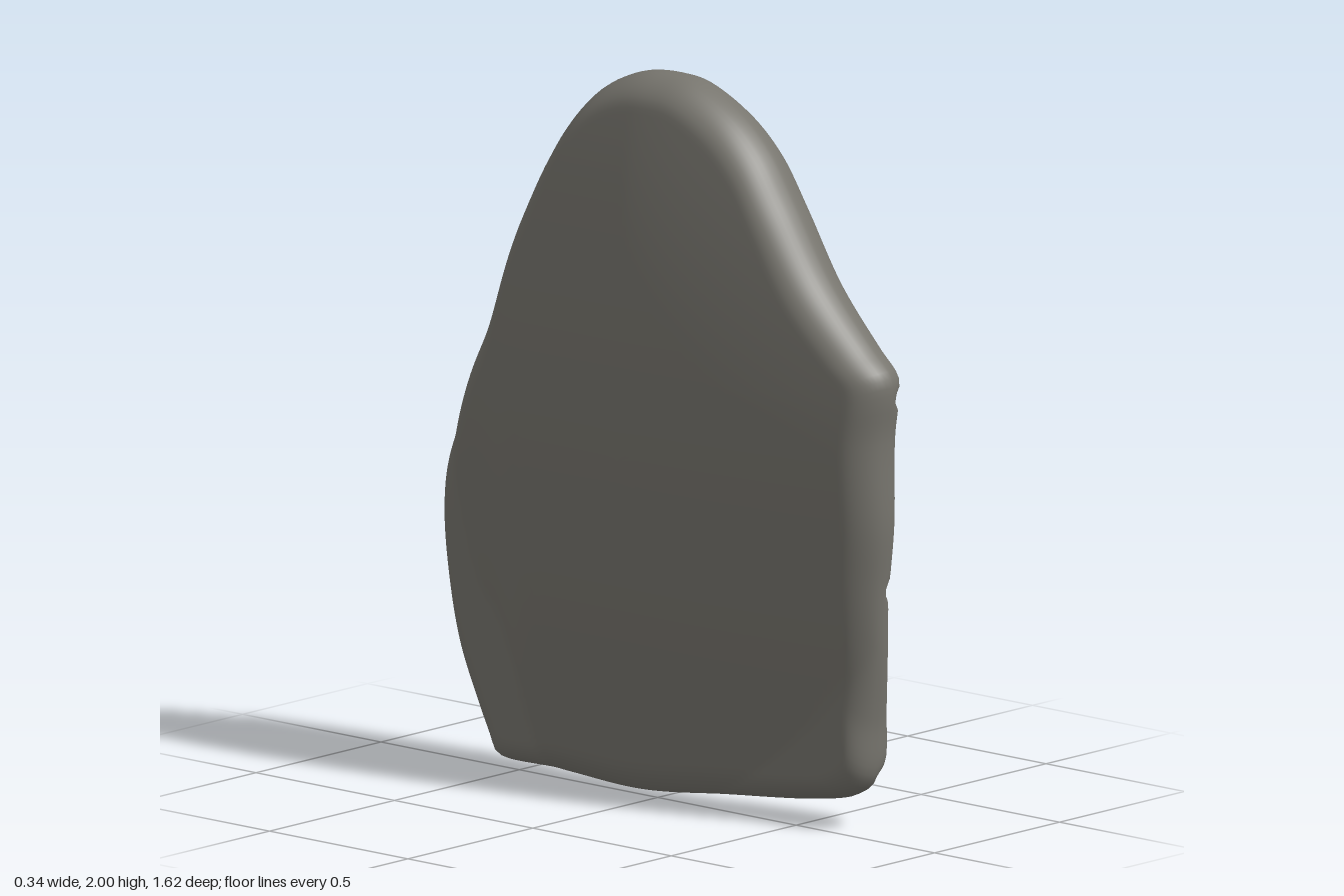
import * as THREE from 'three';

// Plan coordinates are hundredths of a unit: u = -z (to the right when facing the carving), y = up.
const pairs = (a) => Array.from({ length: a.length / 2 }, (_, i) => new THREE.Vector2(a[2 * i] / 100, a[2 * i + 1] / 100));

const OUTLINE = pairs([
  -14, 199, -6, 200, 5, 199, 16, 194, 24, 186, 31, 175, 40, 157, 50, 138, 60, 120, 69, 104, 76, 90,
  80, 78, 81, 65, 79, 47, 75, 30, 68, 14, 64, 6, 62, 2, 59, 1, 40, 1, 10, 0, -20, 3, -50, 6, -64, 9,
  -70, 14, -72, 30, -75, 50, -77, 68, -79, 85, -79.5, 110, -81, 122, -80.5, 127, -74, 134, -60, 150,
  -47, 170, -38, 183, -28, 192]);

// Raised border running down both sides of the point
const BORDER = [
  [-85, 121, -85, 130, -60, 165, -40, 190, -6, 204, -7, 192, -26, 174, -62, 136, -78, 123],
  [-6, 204, 24, 195, 42, 160, 64, 124, 82, 92, 74, 90, 62, 112, 54, 118, 41, 133, 28, 153, 18, 166, -9, 188],
];
// Face and head-dress
const HEAD = [
  [-34, 156, -29, 164, -19, 159, -7, 167, 0, 161, -3, 153, -16, 150, -30, 150],
  [-57, 125, -43, 136, -19, 137, 7, 140, 19, 152, 40, 134, 44, 124, 26, 128, 14, 110, 12, 126, -3, 107, -7, 134, -30, 131, -53, 121],
  [-38, 169, -12, 183, 8, 166, 14, 158, 6, 160, -2, 173, -28, 170, -42, 158, -50, 148],
];
// Leaf and petal shapes around the middle
const LEAVES = [
  [-34, 113, -24, 128, -15, 129, -19, 118, -30, 108],
  [-53, 119, -46, 121, -38, 110, -43, 102],
  [-57, 99, -42, 100, -36, 89, -46, 87, -57, 89],
  [-30, 99, -7, 101, -11, 87, -24, 83, -30, 89],
  [-1, 101, 21, 100, 15, 92, 2, 87],
  [-48, 84, -33, 85, -30, 76, -38, 60, -48, 65],
  [-19, 78, -3, 82, 13, 80, 13, 74, -8, 74, -22, 69],
];
// Lower ornaments, the left-hand column and the bottom edge
const LOWER = [
  [-84, 118, -61, 118, -62, 92, -66, 76, -74, 70, -84, 66],
  [-84, 66, -75, 64, -60, 71, -50, 62, -49, 54, -54, 33, -67, 17, -84, 14],
  [-47, 49, -27, 48, -27, 36, -40, 31, -47, 36],
  [-3, 65, 13, 68, 16, 60, 14, 33, 8, 24, 2, 25, 5, 47, -3, 54],
  [-19, 49, -10, 56, -6, 47, -16, 41],
  [-24, 33, -8, 36, -3, 25, -14, 19, -24, 22],
  [-70, 10, -56, 22, -35, 17, -14, 7, 10, 3, 62, 3, 62, -3, -70, -3],
];
// Draped folds sweeping down the right
const FOLDS = [
  [47, 100, 21, 78, 22, 60, 19, 33, 4, 8, 9, 9, 20, 20, 38, 42, 45, 65],
  [49, 118, 60, 100, 61, 75, 53, 45, 42, 25, 22, 5, 13, 5, 36, 27, 47, 45, 54, 65, 55, 90],
];
const CRESCENT = pairs([60, 110, 72, 105, 84, 81, 82, 49, 66, 6, 31, 5, 52, 28, 66, 60, 66, 86]);
const MOTIFS = [...BORDER, ...HEAD, ...LEAVES, ...LOWER, ...FOLDS].map(pairs);

// Signed distance to a polygon, positive inside
function inside(poly, u, y) {
  let best = Infinity, within = false;
  poly.forEach((a, i) => {
    const b = poly[(i + 1) % poly.length], dx = b.x - a.x, dy = b.y - a.y;
    const t = THREE.MathUtils.clamp(((u - a.x) * dx + (y - a.y) * dy) / (dx * dx + dy * dy), 0, 1);
    best = Math.min(best, Math.hypot(u - a.x - dx * t, y - a.y - dy * t));
    if ((a.y > y) !== (b.y > y) && u < a.x + (y - a.y) * dx / dy) within = !within;
  });
  return within ? best : -best;
}
const smooth = THREE.MathUtils.smoothstep;

// How far the relief stands up at a point, 0 (ground) to 1
function relief(u, y) {
  let h = smooth(inside(CRESCENT, u, y), -0.02, 0.06) * 0.9;
  for (const m of MOTIFS) h = Math.max(h, smooth(inside(m, u, y), -0.025, 0.015));
  return h;
}
// Carved side, slightly hollow down the middle and swelling at the lower left corner
function frontX(u, y, h) {
  const hollow = 0.016 * (1 - smooth(Math.abs(u), 0.1, 0.5));
  return 0.09 + 0.03 * h - hollow + 0.048 * smooth(0.65 - y, 0, 0.45) * smooth(-u, 0.1, 0.65);
}
// Domed back, stepping in twice along the right-hand side
function backX(u, y) {
  const dy = y < 1.2 ? 0.17 * ((1.2 - y) / 1.2) ** 1.8 : 0.08 * ((y - 1.2) / 0.8) ** 2;
  const du = u > 0 ? 0.1 * smooth(u, 0.36, 0.62) + 0.085 * smooth(u, 0.6, 0.85) : 0.1 * (-u / 0.7) ** 1.5;
  return Math.min(0.005, -0.17 + dy + du);
}

export function createModel() {
  const group = new THREE.Group();
  group.name = 'carvedFragment';
  const N = 260, FRONT = 84, BACK = 40, CY = 0.95, RIM = 0.08;
  const curve = new THREE.CatmullRomCurve3(OUTLINE.map((p) => new THREE.Vector3(p.x, p.y, 0)), true, 'centripetal');
  const edge = curve.getSpacedPoints(N).slice(0, N);

  // Rings grow from the middle of the carved side to the edge, then shrink across the back
  const positions = [], kinds = [], rows = FRONT + BACK;
  for (let i = 0; i <= rows; i++) {
    const front = i <= FRONT;
    const f = front ? i / FRONT : (rows - i) / BACK;
    const s = 1 - (1 - f) ** 1.7;
    for (const e of edge) {
      const u = e.x * s, y = CY + (e.y - CY) * s;
      const d = (1 - s) * Math.hypot(e.x, e.y - CY);
      // Rounded rim, centred between the two sides
      const k = d < RIM ? Math.sqrt(1 - (1 - d / RIM) ** 2) : 1;
      const mid = (frontX(e.x, e.y, 0.9) + backX(e.x, e.y)) / 2;
      const h = front ? relief(u, y) : 0;
      const face = front ? frontX(u, y, h) : backX(u, y);
      positions.push(mid + (face - mid) * k, y, -u);
      let kind = 'shell';
      if (front && d > 0.03) {
        kind = h < 0.45 ? 'ground' : inside(CRESCENT, u, y) > 0 ? 'crescent' : 'motifs';
      }
      kinds.push(kind);
    }
  }

  // Sort the faces into parts that share the same smooth normals
  const index = { shell: [], ground: [], motifs: [], crescent: [] }, all = [];
  for (let i = 0; i < rows; i++) {
    for (let j = 0; j < N; j++) {
      const a = i * N + j, d = i * N + (j + 1) % N, b = a + N, c = d + N;
      const quad = [a, c, b, a, d, c];
      index[kinds[b]].push(...quad);
      all.push(...quad);
    }
  }
  const whole = new THREE.BufferGeometry();
  whole.setAttribute('position', new THREE.Float32BufferAttribute(positions, 3));
  whole.setIndex(all);
  whole.computeVertexNormals();

  const parts = [
    ['stoneRimAndBack', 'shell', 0x77756e],
    ['recessedGround', 'ground', 0x8a6754],
    ['raisedCarving', 'motifs', 0x997c66],
    ['outerCrescent', 'crescent', 0x948458],
  ];
  for (const [name, key, color] of parts) {
    const geometry = new THREE.BufferGeometry();
    geometry.setAttribute('position', whole.getAttribute('position'));
    geometry.setAttribute('normal', whole.getAttribute('normal'));
    geometry.setIndex(index[key]);
    const mesh = new THREE.Mesh(geometry, new THREE.MeshStandardMaterial({ color }));
    mesh.name = name;
    group.add(mesh);
  }
  return group;
}
